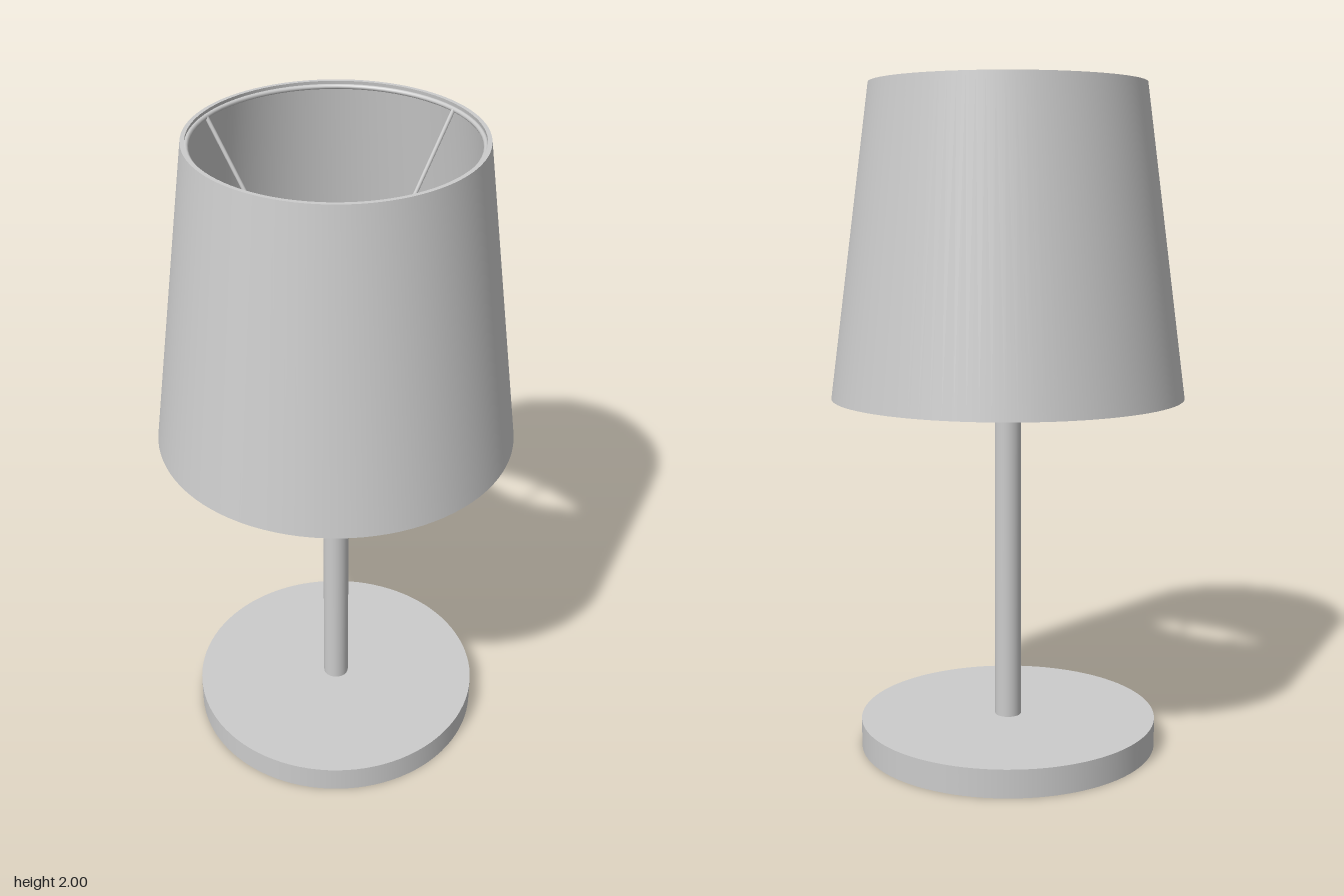
import * as THREE from 'three';
import { toCreasedNormals } from 'three/addons/utils/BufferGeometryUtils.js';

const material = new THREE.MeshStandardMaterial({ color: 0xcccccc });

export function createModel() {
  const lamp = new THREE.Group();
  lamp.name = 'tableLamp';

  const add = (name, geometry, y = 0) => {
    const mesh = new THREE.Mesh(geometry, material);
    mesh.name = name;
    mesh.position.y = y;
    lamp.add(mesh);
    return mesh;
  };
  const lathe = (points, segments) => toCreasedNormals(
    new THREE.LatheGeometry(points.map(([r, y]) => new THREE.Vector2(r, y)), segments), 0.6);

  // Disc base and slim pole
  add('base', new THREE.CylinderGeometry(0.453, 0.453, 0.085, 96), 0.0425);
  add('pole', new THREE.CylinderGeometry(0.04, 0.04, 1.32, 40), 0.74);

  // Bulb-shaped holder around the top of the pole
  add('holder', lathe([
    [0.04, 1.05], [0.055, 1.05], [0.086, 1.08], [0.112, 1.125], [0.117, 1.16],
    [0.112, 1.195], [0.08, 1.27], [0.056, 1.325], [0.048, 1.37], [0.04, 1.37],
  ], 48));

  // Tapered shade with a thin wall, open at both ends
  add('shade', lathe([
    [0.516, 1.08], [0.528, 1.08], [0.407, 2], [0.395, 2], [0.516, 1.08],
  ], 96));

  // Wire rings: one inside the shade's top edge, one on the holder
  const ring = (name, radius, tube, y) =>
    add(name, new THREE.TorusGeometry(radius, tube, 10, 72).rotateX(Math.PI / 2), y);
  ring('shadeRing', 0.392, 0.007, 1.985);
  ring('holderRing', 0.053, 0.007, 1.38);

  // Three sloping wires carry the shade
  for (let i = 0; i < 3; i++) {
    const wire = new THREE.LineCurve3(
      new THREE.Vector3(0.052, 1.38, 0), new THREE.Vector3(0.39, 1.985, 0));
    const spoke = add('shadeSpoke', new THREE.TubeGeometry(wire, 1, 0.006, 10));
    spoke.rotation.y = i * Math.PI * 2 / 3;
  }

  return lamp;
}
